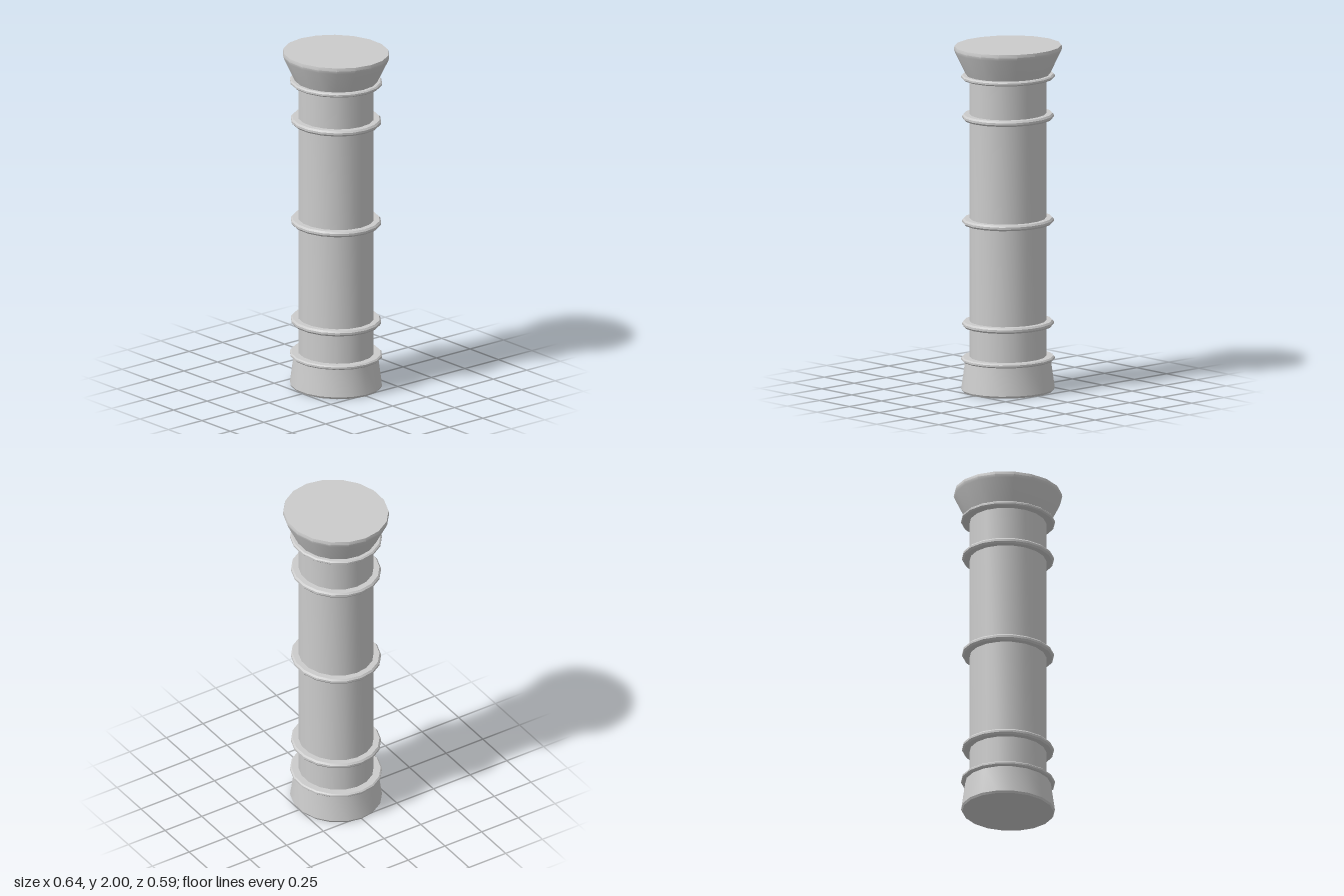
import * as THREE from 'three';
import { toCreasedNormals } from 'three/addons/utils/BufferGeometryUtils.js';

const SIDES = 18;
const START = THREE.MathUtils.degToRad(89);
const material = new THREE.MeshStandardMaterial({ color: 0xcccccc });

// Turned part from [radius, height] pairs, listed bottom to top
function turned(name, profile, y = 0) {
  const points = profile.map(([r, h]) => new THREE.Vector2(r, h));
  const lathe = new THREE.LatheGeometry(points, SIDES, START);
  const mesh = new THREE.Mesh(toCreasedNormals(lathe, 0.6), material);
  mesh.name = name;
  mesh.position.y = y;
  return mesh;
}

export function createModel() {
  const column = new THREE.Group();
  column.name = 'column';

  // Flared foot with a small bevel at the floor
  column.add(turned('base', [[0, 0], [0.268, 0], [0.275, 0.012], [0.25, 0.185], [0, 0.185]]));

  // Plain shaft
  column.add(turned('shaft', [[0.225, 0.18], [0.225, 1.83]]));

  // Three bevelled bands around the shaft
  const band = [[0.22, -0.016], [0.26, -0.016], [0.269, -0.006], [0.269, 0.006], [0.26, 0.016], [0.22, 0.016]];
  for (const y of [0.39, 0.985, 1.59]) column.add(turned('band', band, y));

  // Thin collars where the shaft meets base and capital
  const collar = [[0.22, -0.012], [0.267, -0.012], [0.275, -0.005], [0.275, 0.005], [0.267, 0.012], [0.22, 0.012]];
  column.add(turned('lowerCollar', collar, 0.187));
  column.add(turned('upperCollar', collar, 1.822));

  // Flared capital with a short upright rim and flat top
  column.add(turned('capital', [
    [0.22, 1.82], [0.242, 1.825], [0.312, 1.965], [0.318, 1.982], [0.314, 2], [0, 2],
  ]));

  // Slightly oval plan
  column.scale.z = 0.935;
  return column;
}
